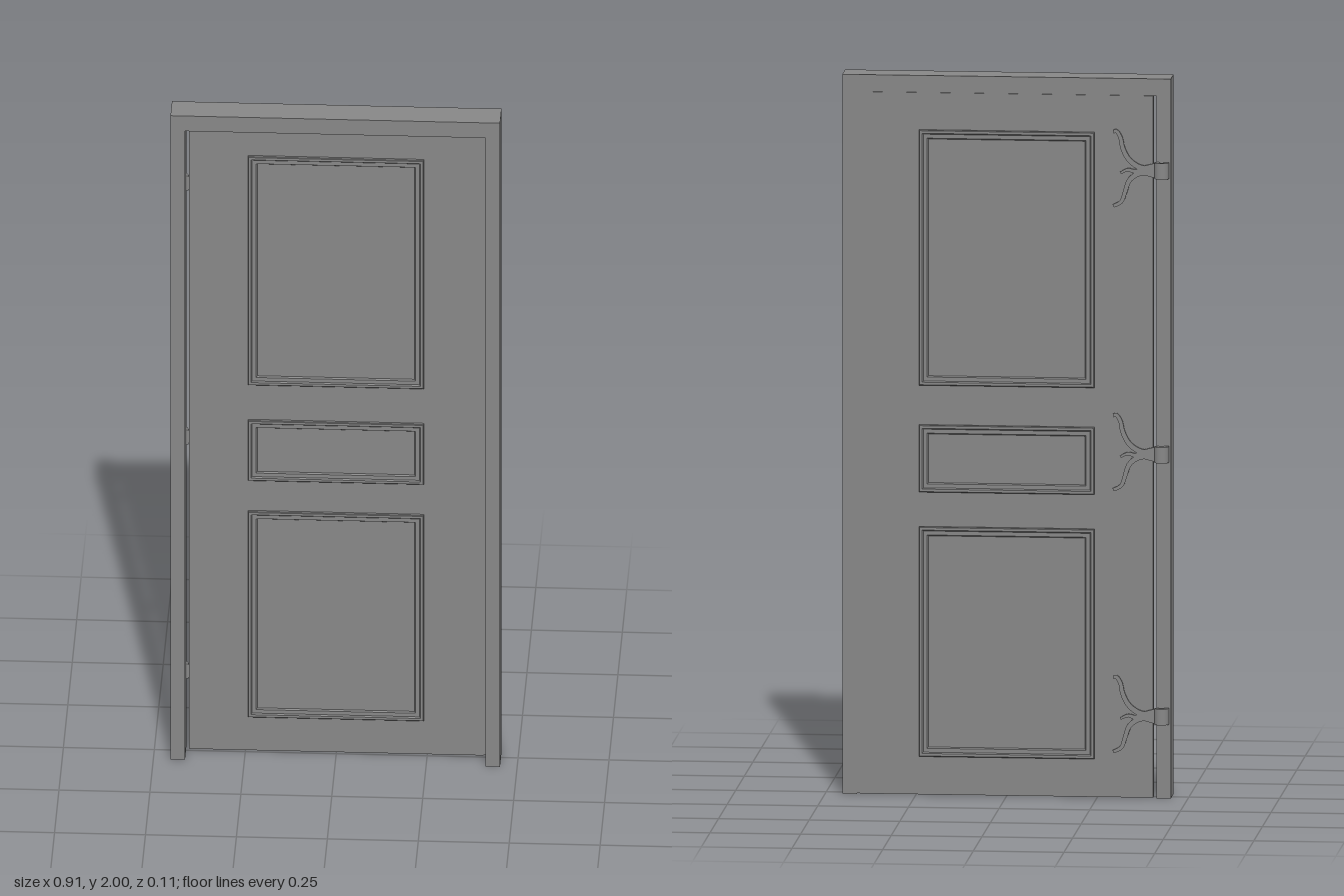
import * as THREE from 'three';

const BACK = -0.0305, FRONT = 0.0545, DOOR_BACK = -0.033, DOOR_FRONT = -0.006;
const material = new THREE.MeshStandardMaterial({ color: 0x878787 });

function part(name, geometry, x = 0, y = 0, z = 0) {
  const mesh = new THREE.Mesh(geometry, material);
  mesh.name = name;
  mesh.position.set(x, y, z);
  return mesh;
}

const extrude = (shape, depth) =>
  new THREE.ExtrudeGeometry(shape, { depth, bevelEnabled: false, curveSegments: 16 });

// Mitred rectangular moulding: a profile of [inset, height] run round a rectangle
function mouldingGeometry(w, h) {
  const profile = [[0, 0], [0, 0.007], [0.002, 0.009], [0.009, 0.009], [0.012, 0.005],
    [0.023, 0.005], [0.026, 0]];
  const corners = [[-1, -1], [1, -1], [1, 1], [-1, 1]];
  const at = ([inset, z], c) => {
    const [sx, sy] = corners[c % 4];
    return [sx * (w / 2 - inset), sy * (h / 2 - inset), z];
  };
  const pos = [];
  for (let i = 0; i < profile.length - 1; i++) {
    for (let c = 0; c < 4; c++) {
      const a = at(profile[i], c), b = at(profile[i], c + 1);
      const d = at(profile[i + 1], c), e = at(profile[i + 1], c + 1);
      pos.push(...a, ...b, ...e, ...a, ...e, ...d);
    }
  }
  const g = new THREE.BufferGeometry();
  g.setAttribute('position', new THREE.Float32BufferAttribute(pos, 3));
  g.computeVertexNormals();
  return g;
}

// Flat ribbon along a spline; its width goes from w0 to w1
function ribbonGeometry(points, w0, w1, depth) {
  const curve = new THREE.SplineCurve(points.map(p => new THREE.Vector2(...p)));
  const left = [], right = [], n = 20;
  for (let i = 0; i <= n; i++) {
    const t = i / n, p = curve.getPoint(t), d = curve.getTangent(t);
    const r = (w0 + (w1 - w0) * t) / 2;
    left.push(new THREE.Vector2(p.x - d.y * r, p.y + d.x * r));
    right.unshift(new THREE.Vector2(p.x + d.y * r, p.y - d.x * r));
  }
  return extrude(new THREE.Shape([...left, ...right]), depth);
}

// Ornamental hinge: arched knuckle, strap and curling arms
function createHinge(y) {
  const hinge = new THREE.Group();
  hinge.name = 'hinge';
  hinge.position.y = y;

  const arch = new THREE.Shape();
  arch.moveTo(0.02, 0);
  arch.lineTo(0.02, 0.004);
  arch.absarc(0, 0.004, 0.02, 0, Math.PI, false);
  arch.lineTo(-0.02, 0);
  arch.lineTo(-0.007, 0);
  arch.lineTo(-0.007, 0.004);
  arch.absarc(0, 0.004, 0.007, Math.PI, 0, true);
  arch.lineTo(0.007, 0);
  const knuckle = extrude(arch, 0.045);
  knuckle.rotateX(-Math.PI / 2);
  hinge.add(part('hingeKnuckle', knuckle, -0.428, -0.0225, BACK));

  const depth = 0.006, z = DOOR_BACK - depth;
  const ribbons = {
    hingeStrap: [[[-0.415, 0], [-0.395, 0], [-0.375, 0]], 0.045, 0.022],
    hingeUpperArm: [[[-0.385, 0.004], [-0.36, 0.012], [-0.336, 0.032], [-0.321, 0.062],
      [-0.315, 0.09], [-0.304, 0.108], [-0.295, 0.106]], 0.016, 0.009],
    hingeLowerArm: [[[-0.385, -0.004], [-0.36, -0.011], [-0.338, -0.03], [-0.327, -0.062],
      [-0.317, -0.088], [-0.295, -0.1]], 0.016, 0.009],
    hingeFinial: [[[-0.38, 0], [-0.355, -0.003], [-0.335, 0.001], [-0.315, -0.008]], 0.014, 0.006],
  };
  for (const [name, [points, w0, w1]] of Object.entries(ribbons)) {
    hinge.add(part(name, ribbonGeometry(points, w0, w1, depth), 0, 0, z));
  }
  return hinge;
}

export function createModel() {
  const model = new THREE.Group();
  model.name = 'door';

  // Frame: two jambs and a head
  const outline = [[-0.453, 0], [-0.413, 0], [-0.413, 1.953], [0.413, 1.953],
    [0.413, 0], [0.453, 0], [0.453, 2], [-0.453, 2]];
  const frame = new THREE.Shape(outline.map(p => new THREE.Vector2(...p)));
  model.add(part('frame', extrude(frame, FRONT - BACK), 0, 0, BACK));

  // Door leaf, with a clear gap on the hinge side and a recessed lip on the other
  const thick = DOOR_FRONT - DOOR_BACK, zMid = (DOOR_FRONT + DOOR_BACK) / 2;
  model.add(part('doorLeaf', new THREE.BoxGeometry(0.809, 1.951, thick), 0, 0.9775, zMid));
  model.add(part('closingLip', new THREE.BoxGeometry(0.01, 1.951, thick - 0.006), 0.409, 0.9775, zMid));

  // Panel mouldings on both faces
  for (const [bottom, top] of [[0.108, 0.747], [0.843, 1.03], [1.14, 1.85]]) {
    const geometry = mouldingGeometry(0.484, top - bottom);
    const y = (top + bottom) / 2;
    model.add(part('frontMoulding', geometry, -0.001, y, DOOR_FRONT));
    const back = part('backMoulding', geometry, -0.001, y, DOOR_BACK);
    back.rotation.y = Math.PI;
    model.add(back);
  }

  for (const y of [0.229, 0.957, 1.746]) model.add(createHinge(y));
  return model;
}
